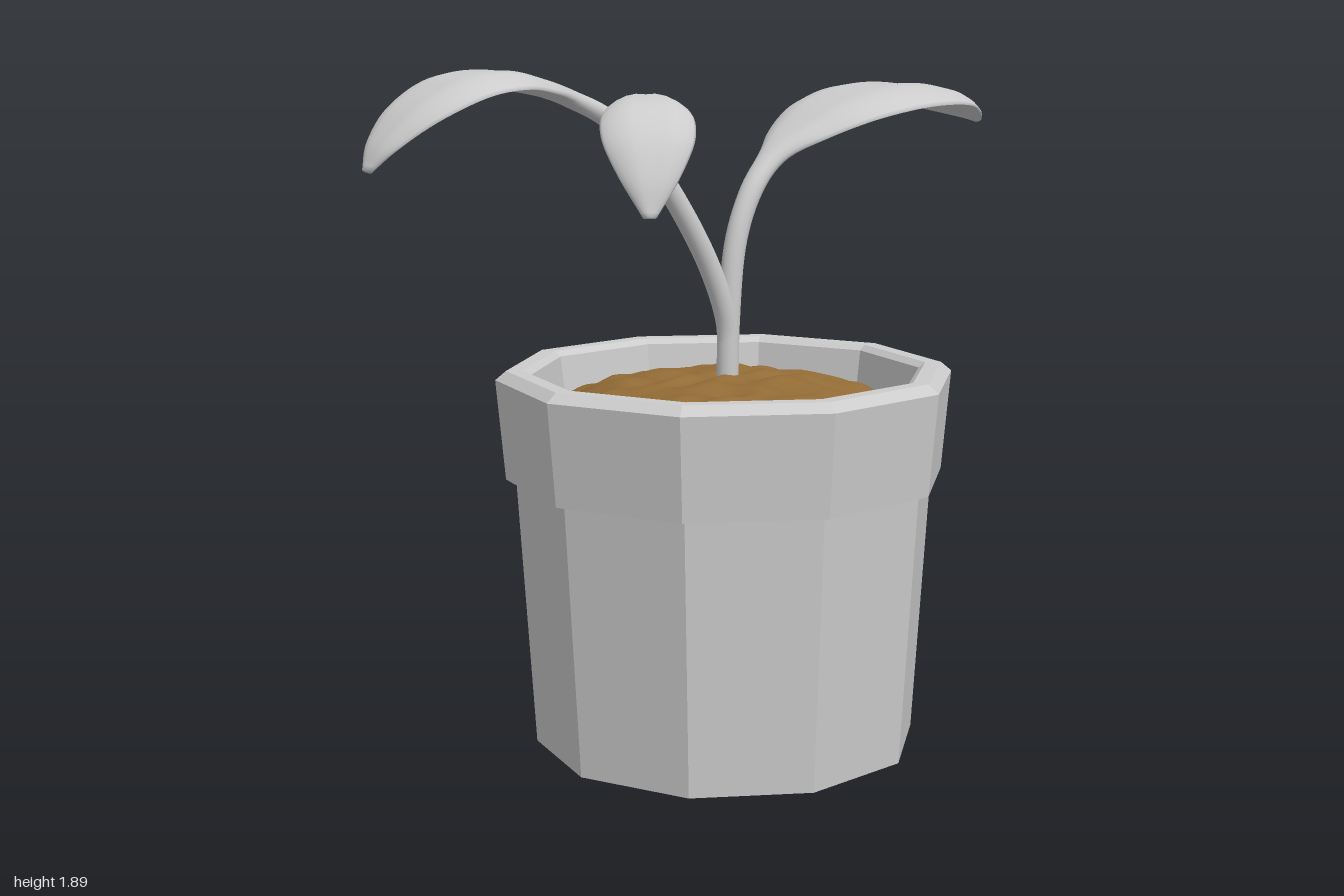
import * as THREE from 'three';
import { mergeVertices } from 'three/addons/utils/BufferGeometryUtils.js';

const CX = 0.05, CZ = -0.08;            // pot axis
const STEP = Math.PI / 5;               // ten-sided pot
const TURN = Math.PI / 20;              // pot is turned by 9 degrees

const grey = new THREE.MeshStandardMaterial({ color: 0xcccccc });
const greyFlat = new THREE.MeshStandardMaterial({ color: 0xcccccc, flatShading: true });
const brown = new THREE.MeshStandardMaterial({ color: 0x926b35 });

function add(group, name, geometry, material) {
  const mesh = new THREE.Mesh(geometry, material);
  mesh.name = name;
  group.add(mesh);
  return mesh;
}

// Tapered pot with a thick bevelled rim, hollow above the soil
function potGeometry() {
  const profile = [
    [0, 0], [0.54, 0], [0.587, 0.76], [0.615, 0.76], [0.64, 1.04],
    [0.61, 1.065], [0.565, 1.065], [0.546, 1.05], [0.52, 0.85], [0, 0.85],
  ].map(([r, y]) => new THREE.Vector2(r, y));
  return new THREE.LatheGeometry(profile, 10, TURN);
}

// Lumpy mound of earth whose outline follows the ten-sided wall
function soilGeometry() {
  const R = 0.532;
  let geo = new THREE.RingGeometry(0.002, R, 120, 36);
  geo.rotateX(-Math.PI / 2);
  const p = geo.attributes.position;
  for (let i = 0; i < p.count; i++) {
    const x = p.getX(i), z = p.getZ(i);
    const r = Math.hypot(x, z) / R;
    const a = Math.atan2(z, x) - TURN + 4 * Math.PI;
    const k = Math.cos(STEP / 2) / Math.cos((a % STEP) - STEP / 2);
    const X = x * k, Z = z * k;
    const lumps = 0.008 * Math.sin(17 * X + 3 * Math.sin(11 * Z)) * Math.cos(19 * Z + 2 * Math.sin(9 * X))
      + 0.005 * Math.sin(31 * X + 14 * Z + 2 * Math.sin(23 * Z)) + 0.003 * Math.sin(47 * Z - 21 * X);
    p.setXYZ(i, X, 0.93 + 0.105 * (1 - r ** 3) + lumps, Z);
  }
  geo.deleteAttribute('uv');
  geo.deleteAttribute('normal');
  geo = mergeVertices(geo);
  geo.computeVertexNormals();
  return geo;
}

// Round stem that flattens into a leaf; each row is x, y, z, half width, half thickness
function shootGeometry(rows, dirX, dirZ) {
  const SIDES = 20, LENGTHS = 72;
  const spline = (pts) => new THREE.CatmullRomCurve3(pts, false, 'catmullrom', 0.5);
  const path = spline(rows.map((r) => new THREE.Vector3(r[0], r[1], r[2])));
  const size = spline(rows.map((r) => new THREE.Vector3(r[3], r[4], 0)));
  const across = new THREE.Vector3(0, 1, 0).cross(new THREE.Vector3(dirX, 0, dirZ)).normalize();
  const pos = [], index = [];
  for (let i = 0; i <= LENGTHS; i++) {
    const c = path.getPoint(i / LENGTHS), T = path.getTangent(i / LENGTHS), s = size.getPoint(i / LENGTHS);
    const w = Math.max(s.x, 0.006), t = Math.max(s.y, 0.005);
    const side = across.clone().addScaledVector(T, -across.dot(T)).normalize();
    const up = T.clone().cross(side);
    const flat = Math.max(0, 1 - t / w);
    for (let j = 0; j < SIDES; j++) {
      const a = (j / SIDES) * Math.PI * 2, u = Math.abs(Math.cos(a));
      // midrib groove with edges curling down
      const lift = flat * w * (0.28 * u - 0.45 * u * u);
      const v = c.clone().addScaledVector(side, w * Math.cos(a)).addScaledVector(up, t * Math.sin(a) + lift);
      pos.push(v.x, v.y, v.z);
      if (i < LENGTHS) {
        const k = i * SIDES, n = (j + 1) % SIDES;
        index.push(k + j, k + n, k + SIDES + j, k + n, k + SIDES + n, k + SIDES + j);
      }
    }
  }
  // closed tip
  const tip = path.getPoint(1), last = LENGTHS * SIDES;
  pos.push(tip.x, tip.y, tip.z);
  for (let j = 0; j < SIDES; j++) index.push(last + j, last + ((j + 1) % SIDES), last + SIDES);
  const geo = new THREE.BufferGeometry();
  geo.setAttribute('position', new THREE.Float32BufferAttribute(pos, 3));
  geo.setIndex(index);
  geo.computeVertexNormals();
  return geo;
}

export function createModel() {
  const model = new THREE.Group();
  model.name = 'pottedPlant';

  add(model, 'pot', potGeometry(), greyFlat).position.set(CX, 0, CZ);
  add(model, 'soil', soilGeometry(), brown).position.set(CX, 0, CZ);

  const plant = new THREE.Group();
  plant.name = 'plant';
  model.add(plant);

  // Main stem and the large leaf
  add(plant, 'largeLeafStem', shootGeometry([
    [0.05, 0.98, -0.07, 0.031, 0.031],
    [0.055, 1.2, -0.07, 0.031, 0.031],
    [0.075, 1.4, -0.08, 0.031, 0.031],
    [0.125, 1.54, -0.105, 0.033, 0.03],
    [0.2, 1.635, -0.15, 0.048, 0.026],
    [0.29, 1.705, -0.2, 0.12, 0.02],
    [0.4, 1.765, -0.255, 0.185, 0.017],
    [0.53, 1.8, -0.32, 0.222, 0.016],
    [0.67, 1.805, -0.395, 0.215, 0.016],
    [0.81, 1.785, -0.47, 0.165, 0.015],
    [0.92, 1.745, -0.525, 0.09, 0.014],
    [0.99, 1.71, -0.558, 0.018, 0.01],
  ], 0.887, -0.46), grey);

  // Left branch and the medium leaf
  add(plant, 'mediumLeafStem', shootGeometry([
    [0.05, 1.08, -0.07, 0.028, 0.028],
    [0.045, 1.2, -0.065, 0.03, 0.03],
    [-0.01, 1.35, -0.04, 0.03, 0.03],
    [-0.1, 1.51, 0, 0.03, 0.03],
    [-0.2, 1.65, 0.04, 0.029, 0.029],
    [-0.32, 1.76, 0.09, 0.026, 0.026],
    [-0.43, 1.815, 0.135, 0.035, 0.023],
    [-0.53, 1.85, 0.178, 0.095, 0.018],
    [-0.64, 1.873, 0.225, 0.15, 0.016],
    [-0.76, 1.862, 0.278, 0.165, 0.015],
    [-0.87, 1.805, 0.325, 0.135, 0.014],
    [-0.95, 1.725, 0.36, 0.075, 0.013],
    [-0.987, 1.66, 0.375, 0.018, 0.01],
  ], -0.917, 0.4), grey);

  // Front twig and the small leaf
  add(plant, 'smallLeafStem', shootGeometry([
    [-0.16, 1.6, 0.02, 0.02, 0.02],
    [-0.195, 1.675, 0.08, 0.023, 0.023],
    [-0.235, 1.73, 0.16, 0.023, 0.023],
    [-0.265, 1.778, 0.25, 0.023, 0.022],
    [-0.285, 1.808, 0.34, 0.04, 0.02],
    [-0.308, 1.82, 0.43, 0.085, 0.017],
    [-0.33, 1.8, 0.53, 0.113, 0.015],
    [-0.348, 1.74, 0.61, 0.11, 0.014],
    [-0.36, 1.65, 0.662, 0.07, 0.013],
    [-0.367, 1.56, 0.688, 0.016, 0.01],
  ], -0.2, 0.98), grey);

  return model;
}
